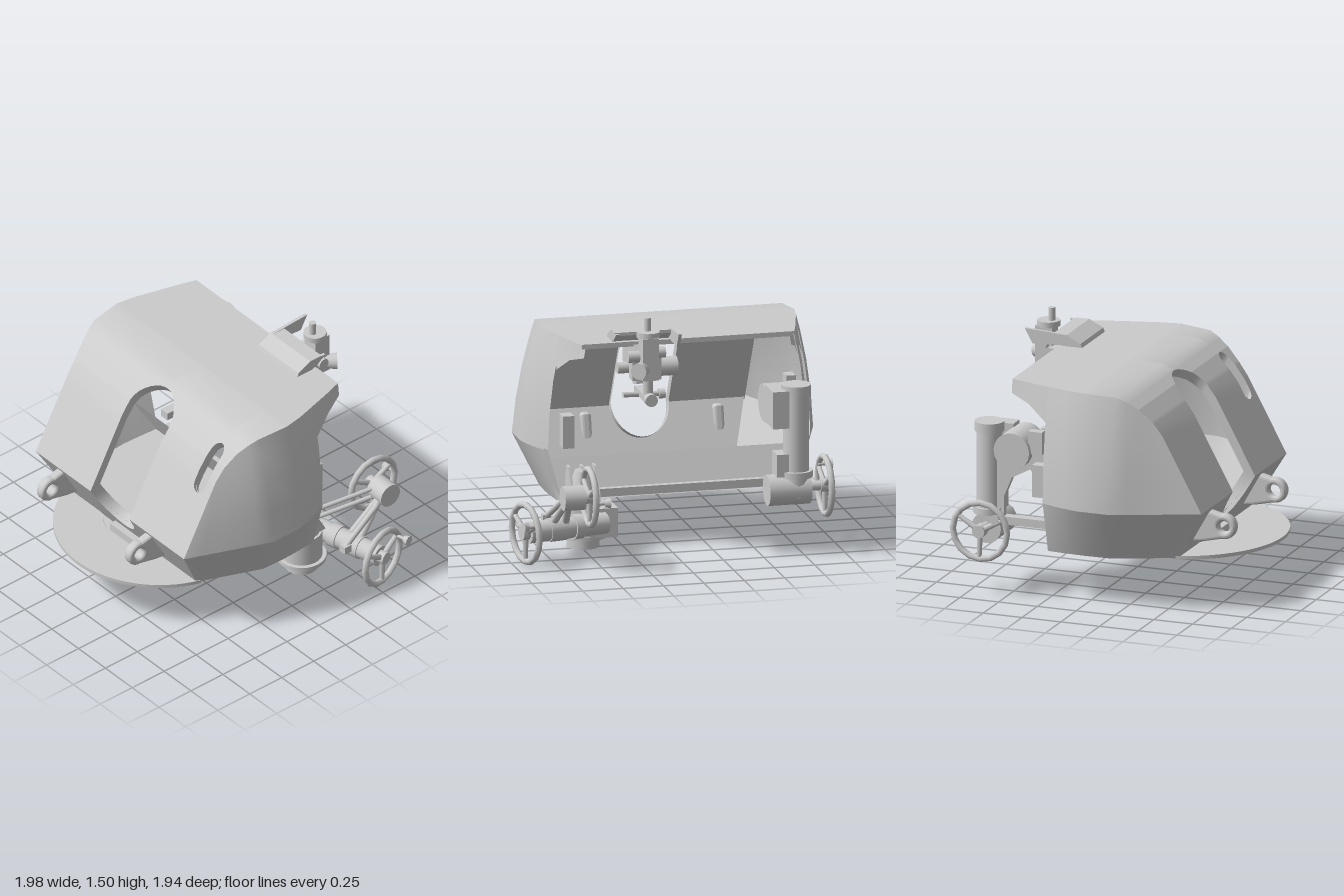
import * as THREE from 'three';
import { toCreasedNormals } from 'three/addons/utils/BufferGeometryUtils.js';

const grey = new THREE.MeshStandardMaterial({ color: 0xcccccc });
const sheet = new THREE.MeshStandardMaterial({ color: 0xcccccc, side: THREE.DoubleSide });
const CX = -0.09; // centre line of the shield
const V = (p) => new THREE.Vector3(...p);
const lerp = THREE.MathUtils.lerp;

function add(parent, name, geo, pos = [0, 0, 0], rot = [0, 0, 0], mat = grey) {
  const m = new THREE.Mesh(geo, mat);
  m.name = name;
  m.position.set(...pos);
  m.rotation.set(...rot);
  parent.add(m);
  return m;
}
const box = (g, name, size, pos) => add(g, name, new THREE.BoxGeometry(...size), pos);

// Cylinder from point a to point b
function rod(g, name, a, b, r, r2 = r, sides = 18) {
  const d = V(b).sub(V(a));
  const m = add(g, name, new THREE.CylinderGeometry(r2, r, d.length(), sides), V(a).addScaledVector(d, 0.5).toArray());
  m.quaternion.setFromUnitVectors(V([0, 1, 0]), d.normalize());
}

// Surface through rows of points
function ribbon(g, name, rows, flip = false) {
  const n = rows[0].length, idx = [];
  for (let i = 0; i < rows.length - 1; i++) for (let j = 0; j < n - 1; j++) {
    const a = i * n + j, b = a + 1, c = a + n, d = c + 1;
    idx.push(...(flip ? [a, c, b, b, c, d] : [a, b, c, b, d, c]));
  }
  const geo = new THREE.BufferGeometry();
  geo.setAttribute('position', new THREE.Float32BufferAttribute(rows.flat(2), 3));
  geo.setIndex(idx);
  add(g, name, toCreasedNormals(geo, 0.5), [0, 0, 0], [0, 0, 0], sheet);
}

// Plate drawn in (z, y) and extruded along x, centred on x
function sidePlate(g, name, shape, x, width, bevel = 0) {
  const geo = new THREE.ExtrudeGeometry(shape, { depth: width - 2 * bevel, curveSegments: 14,
    bevelEnabled: bevel > 0, bevelSize: bevel, bevelThickness: bevel, bevelSegments: 3 });
  geo.translate(0, 0, -width / 2 + bevel);
  add(g, name, geo, [x, 0, 0], [0, -Math.PI / 2, 0]);
}
const poly = (pts) => new THREE.Shape(pts.map((p) => new THREE.Vector2(...p)));

// Handwheel with three spokes and a crank knob
function handwheel(g, name, c, normal, R, knob) {
  const w = new THREE.Group(), n = V(normal).normalize();
  w.name = name;
  w.position.set(...c);
  w.quaternion.setFromUnitVectors(V([0, 0, 1]), n);
  add(w, 'rim', new THREE.TorusGeometry(R - 0.02, 0.02, 8, 16));
  rod(w, 'hub', [0, 0, -0.03], [0, 0, 0.03], 0.04);
  for (let i = 0; i < 3; i++) {
    const a = 0.5 + i * Math.PI * 2 / 3;
    rod(w, 'spoke', [0, 0, 0], [Math.cos(a) * (R - 0.02), Math.sin(a) * (R - 0.02), 0], 0.02, 0.014, 8);
  }
  g.add(w);
  const at = (t) => V(knob).addScaledVector(n, t).toArray();
  rod(g, 'crankPin', at(0), at(0.06), 0.011, 0.011, 10);
  rod(g, 'crankKnob', at(0.05), at(0.085), 0.022, 0.032, 12);
}

// Front profile: z, y, half width
const profile = [[0.54, 0.31, 0.59], [0.72, 0.63, 0.69], [0.47, 1.09, 0.69], [0.41, 1.17, 0.697], [0.33, 1.25, 0.72],
  [0.26, 1.295, 0.745], [0.2, 1.322, 0.765], [0, 1.335, 0.79]];
function atY(y) {
  let i = 0;
  while (i < profile.length - 2 && y > profile[i + 1][1]) i++;
  const [p, q] = [profile[i], profile[i + 1]], t = (y - p[1]) / (q[1] - p[1]);
  return { z: lerp(p[0], q[0], t), w: lerp(p[2], q[2], t) };
}
// Half width at height y of an opening with rounded ends
function opening(y, half, lo, rLo, hi, rHi) {
  const d = y < lo ? (lo - y) / rLo : y > hi ? (y - hi) / rHi : 0;
  return d >= 1 ? 0 : half * Math.sqrt(1 - d * d);
}
const port = (y) => opening(y, 0.18, 0.62, 0.19, 1.16, 0.13);
const slot = (y) => opening(y, 0.048, 1.03, 0.05, 1.2, 0.05);
const arc = (c, r) => Array.from({ length: 11 }, (_, i) => c + r * Math.sin(i * Math.PI / 20));

function shield(root) {
  const g = new THREE.Group();
  g.name = 'shield';
  root.add(g);
  const ys = [...new Set([...profile.map((p) => p[1]), ...arc(0.62, -0.19), ...arc(1.16, 0.13), ...arc(1.03, -0.05), ...arc(1.2, 0.05)])].sort((a, b) => a - b);
  const SX = 0.493;
  const roof = [[0, 1.335, 0.79], [-0.12, 1.335, 0.77], [-0.25, 1.335, 0.735], [-0.38, 1.335, 0.7], [-0.51, 1.335, 0.66]];
  // Sides: upper edge, knuckle line, bottom edge
  const edge = [...profile.slice(1), roof[1], roof[2]];
  const knuckle = edge.map(([z], j) => j < 6
    ? [lerp(0.69, 0.905, j / 5), lerp(0.72, 0.2, j / 5)] : [[0.905, 0], [0.875, -0.12], [0.825, -0.25]][j - 6]);
  const bottom = edge.map((_, j) => j < 6
    ? [lerp(0.59, 0.75, j / 5), lerp(0.54, 0.15, j / 5)] : [[0.755, 0], [0.75, -0.12], [0.74, -0.25]][j - 6]);
  const wing = [[-0.25, 1.12, 0.775], [-0.38, 1.21, 0.725], [-0.51, 1.25, 0.67]];
  // Outer and inner skin
  for (const t of [0, 0.028]) {
    const skin = t ? 'inner' : 'outer';
    // Front plate in three strips around the gun port and sight slot
    const strip = (name, l, r) => ribbon(g, skin + name, ys.map((y) => {
      const { z, w } = atY(y), py = y < 0.63 ? y + t * 0.45 : y - t * 0.8, pz = z - t * 0.8;
      return [[l(y, w - t), py, pz], [r(y, w - t), py, pz]];
    }));
    strip('FrontRight', (y, w) => CX - w, (y) => CX - port(y));
    strip('FrontMiddle', (y) => CX + port(y), (y) => SX - slot(y));
    strip('FrontLeft', (y) => SX + slot(y), (y, w) => CX + w);
    ribbon(g, skin + 'Roof', roof.map(([z, y, w]) => [[CX - w + t, y - t, z], [CX + w - t, y - t, z]]));
    for (const s of [-1, 1]) {
      const place = ([z, y, w]) => [CX + s * (w - t), Math.min(y, 1.335 - t), z];
      const up = [0, 0.3, 0.6, 0.85, 1].map((k) => edge.map(([z, y, w], j) => place([lerp(knuckle[j][1], z, k),
        lerp(0.63, y, k), lerp(knuckle[j][0], w, k) + 0.09 * k * (1 - k) * Math.min(1, j / 4)])));
      ribbon(g, skin + 'Side', up, s < 0);
      ribbon(g, skin + 'Skirt', [bottom.map(([w, z]) => place([z, 0.31, w])), up[0]], s < 0);
      ribbon(g, skin + 'Wing', [wing.map(place), roof.slice(2).map(place)], s < 0);
    }
  }
  box(g, 'roofLip', [1.31, 0.03, 0.015], [CX, 1.32, -0.503]);
  // Thickness around both openings
  for (const [name, c, f, lo, hi] of [['portRim', CX, port, 0.43, 1.29], ['slotRim', SX, slot, 0.98, 1.25]]) {
    for (const s of [-1, 1]) ribbon(g, name, ys.filter((y) => y >= lo - 1e-6 && y <= hi + 1e-6).map((y) => {
      const p = [c + s * f(y), y, atY(y).z], [dy, dz] = y < 0.63 ? [0.03, -0.07] : [-0.05, -0.035];
      return [p, [p[0], p[1] + dy, p[2] + dz]];
    }), s > 0);
  }
  ribbon(g, 'floor', bottom.map(([w, z]) => [[CX - w, 0.31, z], [CX + w, 0.31, z]]), true);
  // Sloping sill along the rear of the floor
  ribbon(g, 'rearSill', [[0.31, -0.24, 0.74], [0.54, -0.12, 0.84]].map(([y, z, w]) => [[CX + w, y, z], [CX - w, y, z]]));
  // Lifting lugs
  const lug = new THREE.Shape();
  lug.moveTo(0.6, 0.415);
  lug.lineTo(0.66, 0.425);
  lug.lineTo(0.775, 0.452);
  lug.absarc(0.79, 0.51, 0.058, -1.7, 1.9, false);
  lug.lineTo(0.7, 0.582);
  lug.lineTo(0.64, 0.578);
  const eye = new THREE.Path();
  eye.absarc(0.79, 0.51, 0.056, 0, Math.PI * 2, true);
  lug.holes.push(eye);
  for (const x of [-0.575, 0.245]) sidePlate(g, 'liftingLug', lug, x, 0.065, 0.02);
  // Boxes on the rear edges of the side walls
  for (const x of [-0.84, 0.6]) box(g, 'wallBox', [0.07, 0.2, 0.09], [x, 0.75, -0.29]);
}

// Flat crescent-ended plate: outer arc around zc, inner arc around zi, cut off at z0
function crescent(root, name, [zc, r], [zi, ri], z0, y, h) {
  const a = Math.asin((z0 - zc) / r), b = Math.asin((z0 - zi) / ri), s = new THREE.Shape();
  s.absarc(0, zc, r, a, Math.PI - a, false);
  s.absarc(0, zi, ri, Math.PI - b, b, true);
  const geo = new THREE.ExtrudeGeometry(s, { depth: h, bevelEnabled: false, curveSegments: 32 });
  add(root, name, geo, [CX, y + h, 0], [Math.PI / 2, 0, 0]);
}

function traverseGear(root) {
  const g = new THREE.Group();
  g.name = 'traverseGear';
  root.add(g);
  const v = (n, y0, y1, r, r2) => rod(g, n, [0.5, y0, -0.285], [0.5, y1, -0.285], r, r2, 24);
  v('pinion', 0.03, 0.1, 0.1);
  v('flange', 0.095, 0.12, 0.15);
  v('gearbox', 0.11, 0.3, 0.125);
  v('neck', 0.3, 0.37, 0.11, 0.1);
  v('tower', 0.37, 0.5, 0.09, 0.05);
  box(g, 'gearboxBlock', [0.2, 0.18, 0.2], [0.42, 0.2, -0.33]);
  for (const x of [-0.08, 0, 0.08]) sidePlate(g, 'towerRib', poly([[-0.4, 0.3], [-0.17, 0.3], [-0.22, 0.52], [-0.28, 0.52]]), 0.5 + x, 0.015);
  rod(g, 'driveHousing', [0.4, 0.205, -0.44], [0.91, 0.205, -0.555], 0.065);
  rod(g, 'housingCollar', [0.56, 0.205, -0.475], [0.62, 0.205, -0.49], 0.075);
  handwheel(g, 'leftHandwheel', [0.925, 0.205, -0.56], [0.97, 0, -0.24], 0.195, [0.9, 0.28, -0.7]);
  // Upper handwheel on its strut
  rod(g, 'upperHub', [0.62, 0.46, -0.77], [0.75, 0.46, -0.77], 0.075);
  rod(g, 'upperAxle', [0.58, 0.46, -0.77], [0.63, 0.46, -0.77], 0.03);
  handwheel(g, 'upperHandwheel', [0.585, 0.46, -0.77], [-1, 0, 0], 0.19, [0.585, 0.46, -0.94]);
  for (const x of [0.67, 0.75]) rod(g, 'strut', [x, 0.24, -0.52], [0.7, 0.46, -0.75], 0.024, 0.02, 10);
  rod(g, 'strutClamp', [0.67, 0.205, -0.5], [0.78, 0.205, -0.525], 0.072);
  rod(g, 'linkRod', [0.73, 0.42, -0.68], [0.76, 0.26, -0.41], 0.018, 0.018, 10);
  box(g, 'linkEnd', [0.05, 0.05, 0.05], [0.76, 0.25, -0.41]);
  for (const y of [0.35, 0.41]) rod(g, 'controlRod', [0.5, y, -0.26], [0.66, y + 0.08, -0.74], 0.014, 0.014, 8);
}

function elevationGear(root) {
  const g = new THREE.Group();
  g.name = 'elevationGear';
  root.add(g);
  rod(g, 'column', [-0.72, 0.36, -0.67], [-0.72, 1.02, -0.67], 0.078);
  rod(g, 'columnCap', [-0.72, 0.99, -0.67], [-0.72, 1.05, -0.67], 0.09);
  rod(g, 'columnCollar', [-0.72, 0.48, -0.67], [-0.72, 0.52, -0.67], 0.1);
  rod(g, 'bevelHousing', [-0.54, 0.4, -0.66], [-0.8, 0.4, -0.66], 0.095);
  rod(g, 'axle', [-0.8, 0.41, -0.66], [-0.9, 0.41, -0.66], 0.03);
  handwheel(g, 'rightHandwheel', [-0.9, 0.41, -0.66], [-1, 0, 0], 0.195, [-0.89, 0.51, -0.54]);
  rod(g, 'drum', [-0.82, 0.9, -0.49], [-0.56, 0.9, -0.49], 0.115);
  box(g, 'housing', [0.1, 0.23, 0.2], [-0.61, 0.91, -0.64]);
  box(g, 'lowerBox', [0.14, 0.14, 0.12], [-0.66, 0.56, -0.66]);
  // Bracket arm reaching back from the side wall
  sidePlate(g, 'bracket', poly([[-0.25, 0.83], [-0.4, 0.78], [-0.51, 0.72], [-0.56, 0.6], [-0.56, 0.47], [-0.62, 0.47],
    [-0.62, 0.9], [-0.45, 0.95], [-0.36, 0.9], [-0.25, 0.9]]), -0.74, 0.04);
  box(g, 'bracketBlock', [0.06, 0.14, 0.09], [-0.76, 0.96, -0.35]);
  box(g, 'lowerArm', [0.06, 0.05, 0.4], [-0.74, 0.45, -0.45]);
  box(g, 'crossBeam', [1.2, 0.05, 0.04], [-0.14, 0.35, -0.27]);
}

function sight(root) {
  const g = new THREE.Group();
  g.name = 'sight';
  root.add(g);
  // Hood over the roof edge
  sidePlate(g, 'hood', poly([[-0.36, 1.336], [-0.37, 1.36], [-0.46, 1.405], [-0.55, 1.405], [-0.55, 1.385], [-0.48, 1.336]]), 0.185, 0.37);
  sidePlate(g, 'hoodCheek', poly([[-0.45, 1.34], [-0.46, 1.405], [-0.73, 1.42], [-0.68, 1.33]]), 0.012, 0.02);
  sidePlate(g, 'hoodCheek', poly([[-0.5, 1.34], [-0.5, 1.4], [-0.58, 1.4]]), 0.36, 0.02);
  // Optical head
  box(g, 'head', [0.1, 0.26, 0.11], [0.19, 1.27, -0.665]);
  rod(g, 'headCap', [0.19, 1.395, -0.65], [0.19, 1.43, -0.65], 0.07);
  rod(g, 'spindle', [0.19, 1.42, -0.63], [0.19, 1.51, -0.63], 0.021);
  rod(g, 'eyepiece', [0.2, 1.21, -0.65], [0.275, 1.21, -0.75], 0.035, 0.05);
  rod(g, 'sideKnob', [0.09, 1.3, -0.66], [0.14, 1.3, -0.66], 0.035);
  rod(g, 'sideKnob', [0.23, 1.27, -0.62], [0.31, 1.27, -0.62], 0.035);
  rod(g, 'lowerStem', [0.19, 1.02, -0.64], [0.19, 1.14, -0.64], 0.03);
  // Mount hung below the roof
  sidePlate(g, 'mountArm', poly([[-0.25, 1.15], [-0.25, 1.33], [-0.5, 1.33], [-0.57, 1.24], [-0.58, 1.09], [-0.5, 1.07], [-0.4, 1.12]]), 0.21, 0.07);
  rod(g, 'mountDrum', [-0.03, 1.16, -0.47], [0.2, 1.16, -0.47], 0.058);
  rod(g, 'mountShaft', [0.2, 1.17, -0.48], [0.34, 1.17, -0.48], 0.035);
  box(g, 'mountPlate', [0.18, 0.16, 0.08], [0.19, 1.2, -0.58]);
  box(g, 'lowerBar', [0.06, 0.04, 0.28], [0.19, 1.02, -0.57]);
  rod(g, 'lowerShaft', [0.06, 1.0, -0.5], [0.32, 1.02, -0.55], 0.016);
  rod(g, 'knob', [0.05, 1.0, -0.5], [0.09, 1.0, -0.5], 0.03);
  rod(g, 'barKnob', [0.19, 1.02, -0.69], [0.19, 1.02, -0.735], 0.038);
}

export function createModel() {
  const root = new THREE.Group();
  root.name = 'gunShield';
  shield(root);
  // Base plate and arc wall under the front
  crescent(root, 'basePlate', [0.33, 0.64], [0.205, 0.445], 0.52, 0.305, 0.022);
  crescent(root, 'arcWall', [0.205, 0.435], [0.205, 0.39], 0.51, 0.215, 0.095);
  box(root, 'latch', [0.24, 0.05, 0.06], [CX, 0.35, 0.59]);
  traverseGear(root);
  elevationGear(root);
  sight(root);
  return root;
}
